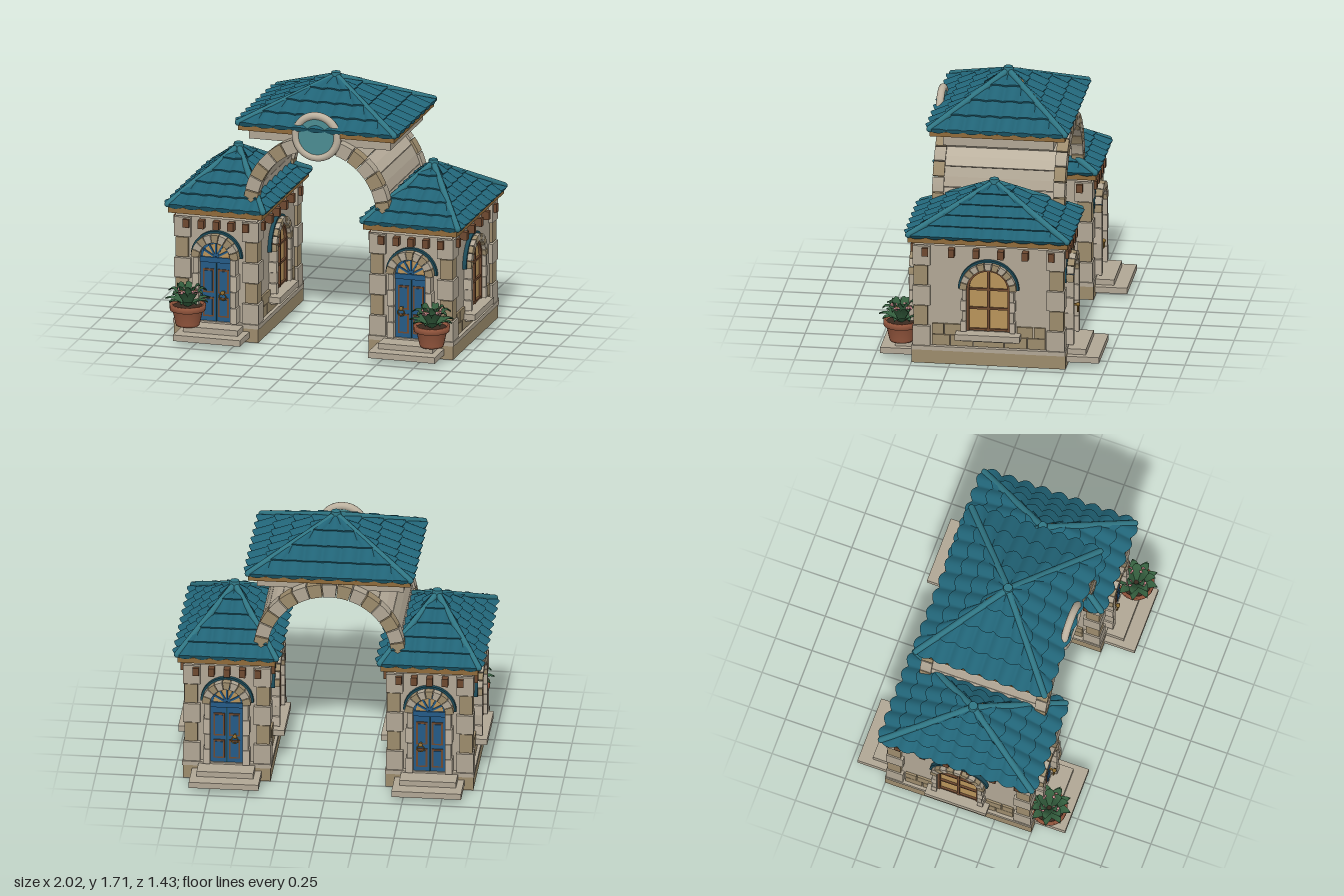
import * as THREE from 'three';

const mat = (color, side = THREE.FrontSide) => new THREE.MeshStandardMaterial({ color, side });
const M = {
  light: mat(0xb0a694), tan: mat(0x9c8b6c), pale: mat(0xbcb19f), eave: mat(0x8f6a3a),
  brown: mat(0x6e4930), blue: mat(0x245a86), glass: mat(0xb8935a), teal: mat(0x1c4a58),
  tile: mat(0x216477, THREE.DoubleSide), hip: mat(0x2f7583), lens: mat(0x4b8c92), brass: mat(0x8a6a30),
  pot: mat(0x9a5a40), soil: mat(0x3a2a20), leaf: mat(0x35603f, THREE.DoubleSide), petal: mat(0xc98a8e),
};

function add(parent, name, geo, material, x = 0, y = 0, z = 0) {
  const m = new THREE.Mesh(geo, material);
  m.name = name;
  m.position.set(x, y, z);
  parent.add(m);
  return m;
}

// Box given by its lowest and highest corner
function box(parent, name, material, x0, x1, y0, y1, z0, z1) {
  return add(parent, name, new THREE.BoxGeometry(x1 - x0, y1 - y0, z1 - z0), material,
    (x0 + x1) / 2, (y0 + y1) / 2, (z0 + z1) / 2);
}

function group(parent, name, x = 0, y = 0, z = 0, ry = 0) {
  const g = new THREE.Group();
  g.name = name;
  g.position.set(x, y, z);
  g.rotation.y = ry;
  parent.add(g);
  return g;
}

const extrude = (shape, depth, curveSegments = 4) =>
  new THREE.ExtrudeGeometry(shape, { depth, bevelEnabled: false, curveSegments });

// Ring sector standing in the xy plane
function sector(r0, r1, a0, a1, depth, segs = 3) {
  const s = new THREE.Shape();
  s.absarc(0, 0, r1, a0, a1, false);
  s.absarc(0, 0, r0, a1, a0, true);
  return extrude(s, depth, segs);
}

// Half ring of separate stones
function stoneArch(parent, name, r0, r1, n, y, z, depth, mats, gap = 0.015, segs = 3) {
  for (let i = 0; i < n; i++)
    add(parent, name, sector(r0, r1, Math.PI * i / n + gap, Math.PI * (i + 1) / n - gap, depth, segs),
      mats[i % mats.length], 0, y, z);
}

// Panel with a round head
function archPanel(r, y0, spring, depth) {
  const s = new THREE.Shape();
  s.moveTo(-r, y0);
  s.lineTo(r, y0);
  s.absarc(0, spring, r, 0, Math.PI, false);
  return extrude(s, depth, 16);
}

// Jamb stones, arch stones and dark outer band around an opening
function surround(g, r, width, y0, spring, depth, stones) {
  const h = (spring - y0) / 4;
  for (const s of [-1, 1]) for (let i = 0; i < 4; i++) {
    const w = width - (i % 2) * 0.008, x = s * (r + w / 2);
    box(g, 'jambStone', i % 2 ? M.light : M.pale, x - w / 2, x + w / 2,
      y0 + i * h + 0.002, y0 + (i + 1) * h - 0.002, -0.01, depth);
  }
  stoneArch(g, 'archStone', r, r + width + 0.008, stones, spring, -0.01, depth + 0.01, [M.tan, M.light]);
  add(g, 'archBand', sector(r + width + 0.008, r + width + 0.022, 0, Math.PI, 0.035, 20), M.teal, 0, spring, -0.01);
}

function door(parent, z, ry, knobX) {
  const g = group(parent, 'door', 0, 0, z, ry);
  surround(g, 0.105, 0.045, 0.12, 0.55, 0.07, 9);
  add(g, 'doorPanel', archPanel(0.105, 0.12, 0.55, 0.025), M.blue);
  add(g, 'fanlight', sector(0.02, 0.088, 0, Math.PI, 0.006, 16), M.glass, 0, 0.55, 0.024);
  for (const a of [-1.05, -0.5, 0, 0.5, 1.05]) {
    const bar = box(g, 'fanBar', M.blue, -0.006, 0.006, -0.044, 0.044, 0, 0.014);
    bar.position.set(-Math.sin(a) * 0.052, 0.55 + Math.cos(a) * 0.052, 0.03);
    bar.rotation.z = a;
  }
  box(g, 'transom', M.blue, -0.105, 0.105, 0.515, 0.55, 0, 0.04);
  for (const s of [-1, 1]) for (const [y0, y1] of [[0.15, 0.28], [0.31, 0.47]]) {
    box(g, 'panelFrame', M.brown, s * 0.05 - 0.036, s * 0.05 + 0.036, y0, y1, 0.02, 0.032);
    box(g, 'panelInset', M.blue, s * 0.05 - 0.025, s * 0.05 + 0.025, y0 + 0.012, y1 - 0.012, 0.02, 0.037);
  }
  box(g, 'doorSeam', M.teal, -0.004, 0.004, 0.12, 0.515, 0.02, 0.03);
  add(g, 'knob', new THREE.SphereGeometry(0.014, 12, 8), M.brass, knobX, 0.325, 0.07);
  box(g, 'knobStem', M.brass, knobX - 0.006, knobX + 0.006, 0.319, 0.331, 0.02, 0.07);
  add(g, 'pullRing', new THREE.TorusGeometry(0.022, 0.005, 6, 16), M.brass, knobX, 0.3, 0.07);
}

function archedWindow(parent, x, ry) {
  const g = group(parent, 'window', x, 0, 0, ry);
  surround(g, 0.14, 0.036, 0.235, 0.52, 0.055, 11);
  add(g, 'glass', archPanel(0.135, 0.235, 0.52, 0.012), M.glass);
  add(g, 'headFrame', sector(0.124, 0.14, 0, Math.PI, 0.03, 16), M.brown, 0, 0.52);
  for (const s of [-1, 1]) box(g, 'sideFrame', M.brown, s * 0.132 - 0.008, s * 0.132 + 0.008, 0.235, 0.52, 0, 0.03);
  box(g, 'mullion', M.brown, -0.008, 0.008, 0.235, 0.65, 0, 0.028);
  for (const y of [0.245, 0.39, 0.52]) box(g, 'glazingBar', M.brown, -0.132, 0.132, y - 0.007, y + 0.007, 0, 0.026);
  box(g, 'sill', M.light, -0.21, 0.21, 0.185, 0.225, -0.01, 0.088);
  box(g, 'sillSupport', M.light, -0.18, 0.18, 0.168, 0.185, -0.01, 0.05);
  // two staggered courses of base stones
  for (const [y, cuts] of [[0.122, [-0.37, -0.25, -0.1, 0.1, 0.25, 0.37]], [0.197, [-0.37, -0.29, -0.18, 0.18, 0.29, 0.37]]])
    for (let i = 0; i < 5; i++)
      if (y < 0.15 || i !== 2)
        box(g, 'baseStone', M.tan, cuts[i] + 0.003, cuts[i + 1] - 0.003, y, y + 0.071, -0.01, 0.014);
}

// One hipped roof side: overlapping rows of barrel tiles clipped to a triangle
function tileFace(w, d, h, rows, pitch) {
  const pos = [], idx = [], len = Math.hypot(d, h), cols = Math.round(2 * w / pitch), n = cols * 8;
  const lift = 0.014, wave = 0.026;
  for (let i = 0; i < rows; i++) {
    const start = pos.length / 3;
    for (let line = 0; line < 4; line++) for (let j = 0; j <= n; j++) {
      const u0 = line < 3 ? i / rows : Math.min(1, (i + 1) / rows + 0.02);
      const lim = w * (1 - u0), x = Math.max(-lim, Math.min(lim, -w + 2 * w * j / n));
      const lobe = Math.abs(Math.sin(Math.PI * (x + w) * cols / (2 * w)));
      const u = line < 3 ? u0 - 0.03 * lobe * (lim > 0 ? 1 : 0) : u0;
      const off = line === 0 ? (i ? lobe * wave * 0.8 - 0.006 : 0) : wave * lobe + (line < 3 ? lift : 0);
      pos.push(x, h * u + off * d / len, d * (1 - u) + off * h / len);
    }
    for (const line of [0, 2]) for (let j = 0; j < n; j++) {
      const a = start + line * (n + 1) + j, b = a + n + 1;
      idx.push(a, a + 1, b + 1, a, b + 1, b);
    }
  }
  const g = new THREE.BufferGeometry();
  g.setAttribute('position', new THREE.Float32BufferAttribute(pos, 3));
  g.setIndex(idx);
  g.computeVertexNormals();
  return g;
}

function roof(parent, hx, hz, y0, h, rows, pitch) {
  const g = group(parent, 'roof', 0, y0, 0);
  for (let k = 0; k < 4; k++)
    add(g, 'tiles', k % 2 ? tileFace(hz, hx, h, rows, pitch) : tileFace(hx, hz, h, rows, pitch), M.tile)
      .rotation.y = k * Math.PI / 2;
  for (const sx of [-1, 1]) for (const sz of [-1, 1]) {
    const path = new THREE.LineCurve3(new THREE.Vector3(sx * hx, 0.015, sz * hz), new THREE.Vector3(0, h + 0.012, 0));
    add(g, 'hipRidge', new THREE.TubeGeometry(path, 1, 0.021, 10), M.hip);
    add(g, 'hipEnd', new THREE.SphereGeometry(0.021, 10, 6), M.hip, sx * hx, 0.015, sz * hz);
  }
  add(g, 'roofCap', new THREE.CylinderGeometry(0.03, 0.04, 0.05, 8), M.hip, 0, h + 0.012, 0);
}

function planter(parent, x, y, z) {
  const g = group(parent, 'planter', x, y, z);
  const profile = [[0, 0], [0.075, 0], [0.08, 0.015], [0.098, 0.1], [0.115, 0.103], [0.118, 0.14], [0.1, 0.142], [0.097, 0.12]];
  add(g, 'pot', new THREE.LatheGeometry(profile.map(p => new THREE.Vector2(...p)), 24),
    mat(0x9a5a40, THREE.DoubleSide));
  add(g, 'soil', new THREE.CylinderGeometry(0.098, 0.098, 0.01, 20), M.soil, 0, 0.122, 0);
  // pointed drooping leaves in three tiers
  for (const [count, length, rise, turn] of [[9, 0.13, 0.05, 0], [7, 0.11, 0.11, 0.3], [5, 0.07, 0.14, 0.6]])
    for (let i = 0; i < count; i++) {
      const geo = new THREE.PlaneGeometry(1, 1, 2, 5), p = geo.attributes.position;
      for (let v = 0; v < p.count; v++) {
        const t = p.getY(v) + 0.5, side = p.getX(v);
        p.setXYZ(v, side * 0.065 * Math.sin(Math.PI * (0.1 + 0.9 * t)),
          rise * Math.sin(t * 2.1) + Math.abs(side) * 0.02, 0.015 + length * t);
      }
      geo.computeVertexNormals();
      add(g, 'leaf', geo, M.leaf, 0, 0.125, 0).rotation.y = turn + i * 2 * Math.PI / count;
    }
  for (let i = 0; i < 4; i++) {
    const a = i * 1.6 + 0.4, f = group(g, 'flower', Math.cos(a) * 0.06, 0.23, Math.sin(a) * 0.06);
    for (let k = 0; k < 5; k++)
      add(f, 'petal', new THREE.SphereGeometry(0.011, 8, 6), M.petal, Math.cos(k * 1.257) * 0.013, 0, Math.sin(k * 1.257) * 0.013);
    add(f, 'flowerCentre', new THREE.SphereGeometry(0.009, 8, 6), M.glass, 0, 0.006, 0);
  }
}

function tower(parent, s) {
  const g = group(parent, s > 0 ? 'leftTower' : 'rightTower', s * 0.655);
  box(g, 'plinth', M.tan, -0.283, 0.283, 0, 0.09, -0.5, 0.5);
  box(g, 'plinthCap', M.light, -0.288, 0.288, 0.09, 0.118, -0.5, 0.5);
  box(g, 'wall', M.light, -0.255, 0.255, 0.118, 0.83, -0.465, 0.465);
  box(g, 'frieze', M.pale, -0.275, 0.275, 0.805, 0.832, -0.485, 0.485);
  box(g, 'eaveBoard', M.eave, -0.315, 0.315, 0.83, 0.868, -0.52, 0.52);
  for (const f of [-1, 1]) {
    box(g, 'lowerStep', M.light, -0.225, 0.225, 0.03, 0.07, f * 0.6 - 0.11, f * 0.6 + 0.11);
    box(g, 'upperStep', M.light, -0.183, 0.183, 0.07, 0.107, f * 0.555 - 0.065, f * 0.555 + 0.065);
    // corner stones
    for (const e of [-1, 1]) for (let i = 0; i < 5; i++) {
      const big = i % 2 === 0, out = big ? 0.283 : 0.276, lx = big ? 0.11 : 0.085, lz = big ? 0.115 : 0.09;
      const cx = e * (out - lx / 2), cz = f * (out + 0.21 - lz / 2), y = 0.12 + i * 0.137;
      box(g, 'cornerStone', big ? M.light : M.tan, cx - lx / 2, cx + lx / 2, y, y + 0.131, cz - lz / 2, cz + lz / 2);
    }
    // corbels under the eaves
    for (const x of [-0.2, -0.1, 0, 0.1, 0.2])
      box(g, 'corbel', M.brown, x - 0.02, x + 0.02, 0.735, 0.79, f * 0.485 - 0.028, f * 0.485 + 0.028);
    for (const z of [-0.41, -0.24, -0.08, 0.08, 0.24, 0.41])
      box(g, 'corbel', M.brown, f * 0.275 - 0.03, f * 0.275 + 0.03, 0.735, 0.79, z - 0.02, z + 0.02);
    door(g, f * 0.465, f > 0 ? 0 : Math.PI, -s * f * 0.055);
    archedWindow(g, f * 0.255, f * Math.PI / 2);
  }
  roof(g, 0.32, 0.515, 0.87, 0.275, 5, 0.11);
  planter(g, s * 0.165, 0.107, 0.58);
}

function bridge(parent) {
  const g = group(parent, 'archway');
  stoneArch(g, 'vaultPlank', 0.42, 0.475, 11, 0.9, -0.36, 0.72, [M.pale, M.light], 0.004, 1);
  for (const z of [-0.43, 0.355])
    stoneArch(g, 'archRingStone', 0.4, 0.49, 15, 0.9, z, 0.075, [M.tan, M.light], 0.008);
  box(g, 'roofSlab', M.light, -0.475, 0.475, 1.325, 1.402, -0.36, 0.36);
  box(g, 'eaveBoard', M.eave, -0.525, 0.525, 1.4, 1.432, -0.44, 0.44);
  roof(g, 0.525, 0.44, 1.435, 0.24, 4, 0.115);
  // round window in the front
  add(g, 'roundWindowFrame', new THREE.TorusGeometry(0.14, 0.025, 12, 40), M.pale, 0, 1.397, 0.43);
  add(g, 'roundWindowGlass', new THREE.CylinderGeometry(0.135, 0.135, 0.03, 32), M.lens, 0, 1.397, 0.427)
    .rotation.x = Math.PI / 2;
}

export function createModel() {
  const model = new THREE.Group();
  model.name = 'gatehouse';
  tower(model, 1);
  tower(model, -1);
  bridge(model);
  return model;
}
